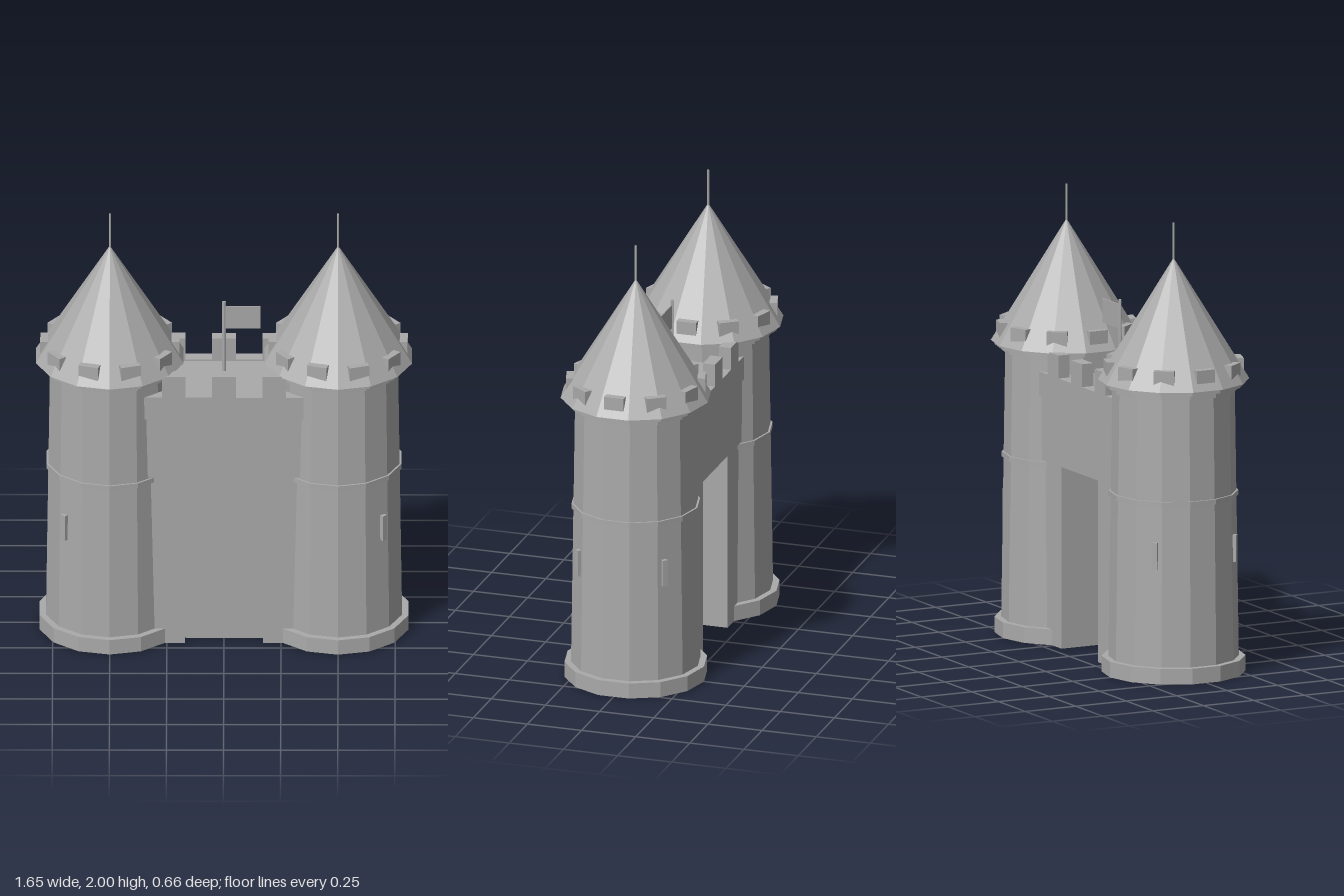
import * as THREE from 'three';

const SIDES = 14;

export function createModel() {
  const castle = new THREE.Group();
  castle.name = 'castleGate';
  const stone = new THREE.MeshStandardMaterial({ color: 0xaaaaaa });
  stone.name = 'greyStone';
  stone.flatShading = true;

  function add(parent, name, geometry, x = 0, y = 0, z = 0) {
    const mesh = new THREE.Mesh(geometry, stone);
    mesh.name = name;
    mesh.position.set(x, y, z);
    parent.add(mesh);
    return mesh;
  }

  // Box given by its lower and upper limits
  function block(parent, name, x0, x1, y0, y1, z0, z1) {
    return add(parent, name, new THREE.BoxGeometry(x1 - x0, y1 - y0, z1 - z0),
      (x0 + x1) / 2, (y0 + y1) / 2, (z0 + z1) / 2);
  }

  // Upright drum between two heights
  function drum(parent, name, rBottom, rTop, y0, y1, sides = SIDES) {
    return add(parent, name, new THREE.CylinderGeometry(rTop, rBottom, y1 - y0, sides),
      0, (y0 + y1) / 2, 0);
  }

  function tower(side) {
    const g = new THREE.Group();
    g.name = side > 0 ? 'leftTower' : 'rightTower';
    g.position.x = 0.5 * side;
    castle.add(g);

    drum(g, 'plinth', 0.315, 0.315, 0, 0.07);
    drum(g, 'towerBody', 0.286, 0.268, 0.07, 1.3);
    drum(g, 'middleBand', 0.284, 0.284, 0.785, 0.808);
    drum(g, 'lowerCornice', 0.285, 0.285, 1.262, 1.288);
    drum(g, 'upperCornice', 0.315, 0.315, 1.286, 1.303);
    drum(g, 'roof', 0.332, 0, 1.305, 1.845);
    drum(g, 'spire', 0.005, 0.005, 1.82, 2, 6);

    // Ring of merlons poking through the roof
    for (let i = 0; i < 10; i++) {
      const a = Math.PI / 2 + (i * Math.PI) / 5;
      const m = add(g, 'roofMerlon', new THREE.BoxGeometry(0.09, 0.085, 0.035),
        Math.sin(a) * 0.287, 1.353, Math.cos(a) * 0.287);
      m.rotation.y = a;
    }

    // Arrow slits on the outer corners
    for (const face of [1, -1]) {
      const slit = add(g, 'arrowSlit', new THREE.BoxGeometry(0.024, 0.12, 0.03),
        side * 0.194, 0.565, face * 0.194);
      slit.rotation.y = Math.atan2(side, face);
    }
  }
  tower(1);
  tower(-1);

  // Gatehouse walls and the bridge over the passage
  const gate = new THREE.Group();
  gate.name = 'gatehouse';
  castle.add(gate);
  block(gate, 'rightJamb', -0.4, -0.17, 0, 0.82, -0.2, 0.2);
  block(gate, 'leftJamb', 0.17, 0.4, 0, 0.82, -0.2, 0.2);
  block(gate, 'bridge', -0.4, 0.4, 0.815, 1.2, -0.21, 0.21);

  // Parapets with three merlons each, front and back
  for (const s of [1, -1]) {
    const z0 = Math.min(s * 0.16, s * 0.216);
    const z1 = Math.max(s * 0.16, s * 0.216);
    block(gate, 'parapet', -0.4, 0.4, 1.1, 1.208, z0, z1);
    for (const x of [-0.22, 0, 0.22]) {
      block(gate, 'merlon', x - 0.052, x + 0.052, 1.205, 1.31, z0, z1);
    }
  }

  // Planked door, set back from the front
  block(gate, 'doorBacking', -0.17, 0.17, 0, 0.82, 0.135, 0.15);
  for (let i = 0; i < 4; i++) {
    const x = -0.168 + i * 0.084;
    block(gate, 'doorPlank', x + 0.002, x + 0.082, 0.003, 0.815, 0.148, 0.157);
  }

  // Flag on the bridge
  const flag = new THREE.Group();
  flag.name = 'flag';
  castle.add(flag);
  drum(flag, 'flagPole', 0.008, 0.008, 1.19, 1.57, 8);
  block(flag, 'flagCloth', 0.005, 0.16, 1.44, 1.548, -0.003, 0.003);

  return castle;
}
